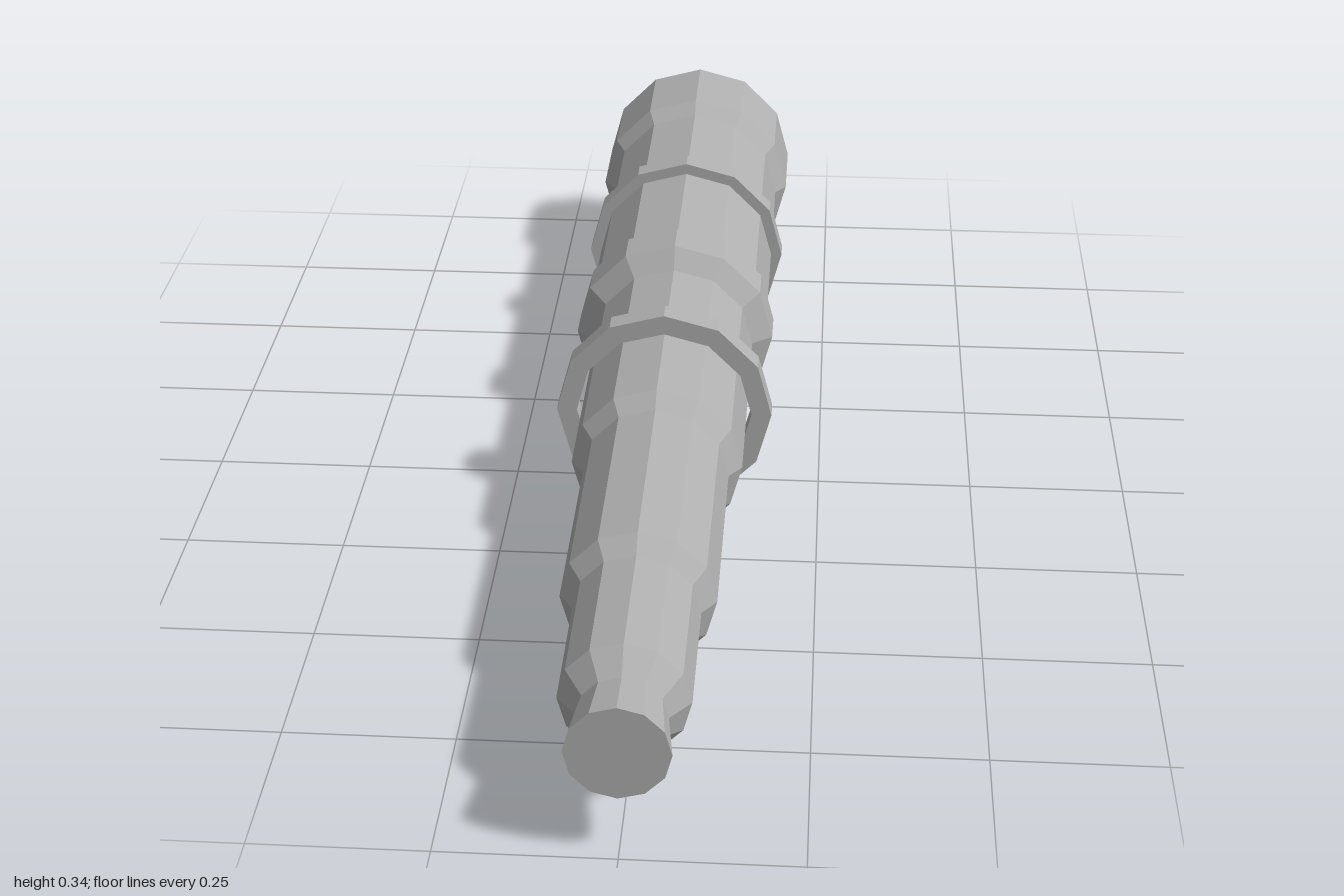
import * as THREE from 'three';

const SIDES = 12;
const AXIS_Y = 0.172;

// Turns a profile of [radius, z] points, listed back to front, around the long axis
function turned(name, profile, material) {
  const points = profile.map(([r, z]) => new THREE.Vector2(r, z));
  const geometry = new THREE.LatheGeometry(points, SIDES);
  geometry.rotateX(Math.PI / 2);
  const mesh = new THREE.Mesh(geometry, material);
  mesh.name = name;
  return mesh;
}

export function createModel() {
  const metal = new THREE.MeshStandardMaterial({ color: 0xb0b0b0 });
  metal.name = 'grey metal';
  metal.flatShading = true;

  const model = new THREE.Group();
  model.name = 'steppedBarrel';
  const body = new THREE.Group();
  body.name = 'body';
  body.position.y = AXIS_Y;
  model.add(body);

  // Chamfered rear cap with a shallow raised centre
  body.add(turned('rearCap', [
    [0, -1], [0.08, -0.989], [0.15, -0.988], [0.172, -0.962],
    [0.172, -0.805], [0.153, -0.778],
  ], metal));

  // Wide rear tube ending in a swollen collar
  body.add(turned('rearTube', [
    [0.153, -0.778], [0.153, -0.272], [0.165, -0.25],
    [0.165, -0.183], [0.132, -0.157],
  ], metal));

  // Three tubes stepping down towards the front
  body.add(turned('middleTube', [
    [0.132, -0.157], [0.132, 0.257], [0.112, 0.285],
  ], metal));
  body.add(turned('frontTube', [
    [0.112, 0.285], [0.112, 0.636], [0.091, 0.665],
  ], metal));
  body.add(turned('noseTube', [
    [0.091, 0.665], [0.091, 0.881], [0.062, 0.918],
  ], metal));

  // Flared, closed tip
  body.add(turned('tip', [[0.062, 0.918], [0.072, 1], [0, 1]], metal));

  // Two separate bands; the front one stands clear of the tube
  const bands = [['rearBand', -0.543], ['frontBand', 0.053]];
  for (const [name, z] of bands) {
    body.add(turned(name, [
      [0.14, z], [0.172, z], [0.172, z + 0.037], [0.14, z + 0.037], [0.14, z],
    ], metal));
  }

  return model;
}
